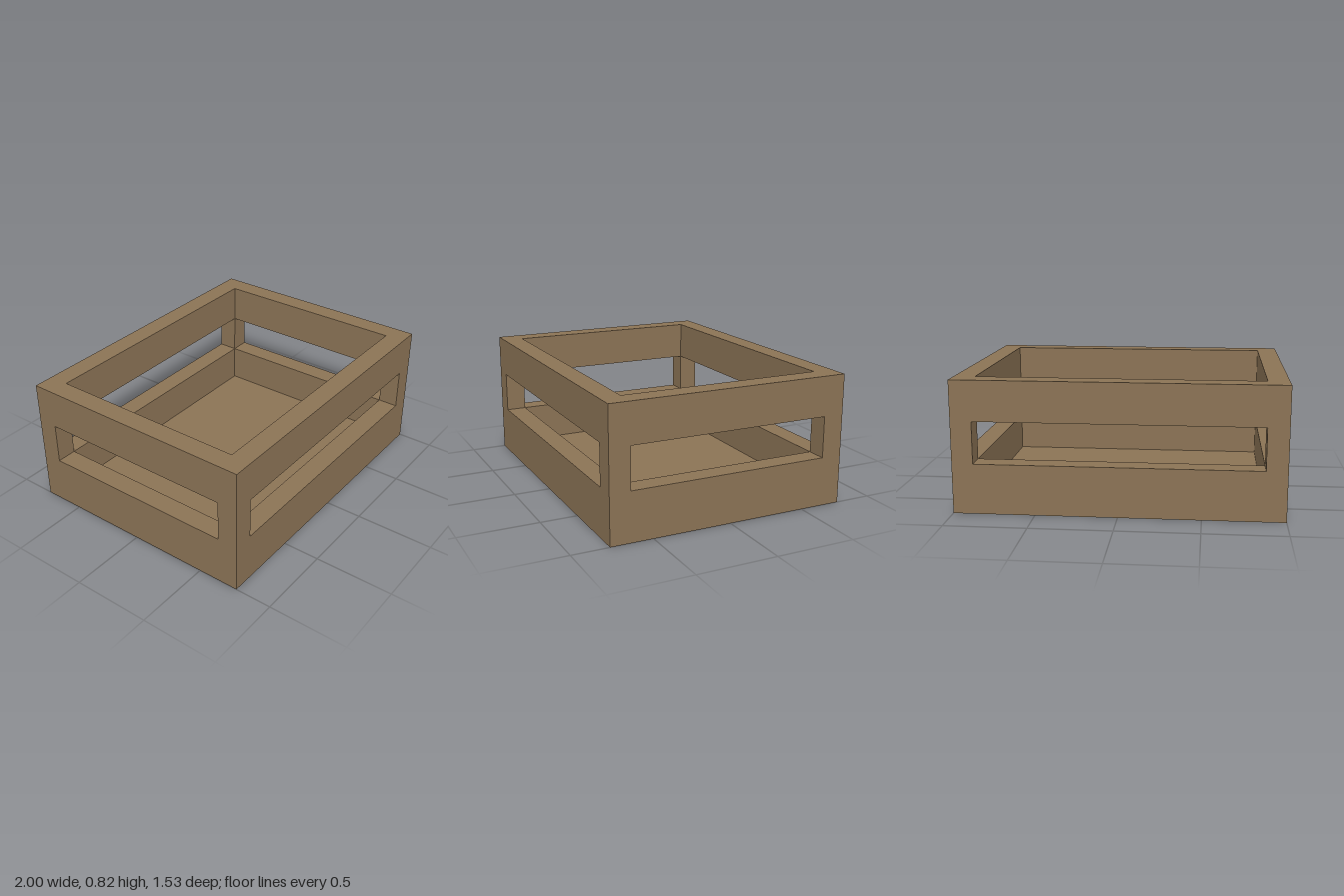
import * as THREE from 'three';

const HALF_X = 1, HALF_Z = 0.767, WALL = 0.13;
const FLOOR = 0.065, SLOT_LOW = 0.31, SLOT_HIGH = 0.57, HEIGHT = 0.82;

function rectangle(path, hx, hz) {
  path.moveTo(-hx, -hz);
  path.lineTo(hx, -hz);
  path.lineTo(hx, hz);
  path.lineTo(-hx, hz);
  path.closePath();
  return path;
}

// Rectangular ring lying flat, from height y0 to y1
function ring(y0, y1) {
  const shape = rectangle(new THREE.Shape(), HALF_X, HALF_Z);
  shape.holes.push(rectangle(new THREE.Path(), HALF_X - WALL, HALF_Z - WALL));
  const geometry = new THREE.ExtrudeGeometry(shape, { depth: y1 - y0, bevelEnabled: false });
  return geometry.rotateX(-Math.PI / 2).translate(0, y0, 0);
}

export function createModel() {
  const model = new THREE.Group();
  model.name = 'openCrate';
  const wood = new THREE.MeshStandardMaterial({ color: 0x8b7355 });
  wood.name = 'brownWood';

  const add = (name, geometry) => {
    const mesh = new THREE.Mesh(geometry, wood);
    mesh.name = name;
    model.add(mesh);
  };

  // Floor panel set inside the lower walls, flush with the underside
  add('floor', new THREE.BoxGeometry(2 * (HALF_X - WALL), FLOOR, 2 * (HALF_Z - WALL))
    .translate(0, FLOOR / 2, 0));

  // Solid walls below and above the slots
  add('lowerWalls', ring(0, SLOT_LOW));
  add('upperWalls', ring(SLOT_HIGH, HEIGHT));

  // Corner posts between them
  for (const [sx, side] of [[-1, 'Right'], [1, 'Left']]) {
    for (const [sz, end] of [[-1, 'back'], [1, 'front']]) {
      add(`${end}${side}Post`, new THREE.BoxGeometry(WALL, SLOT_HIGH - SLOT_LOW, WALL)
        .translate(sx * (HALF_X - WALL / 2), (SLOT_LOW + SLOT_HIGH) / 2, sz * (HALF_Z - WALL / 2)));
    }
  }
  return model;
}
